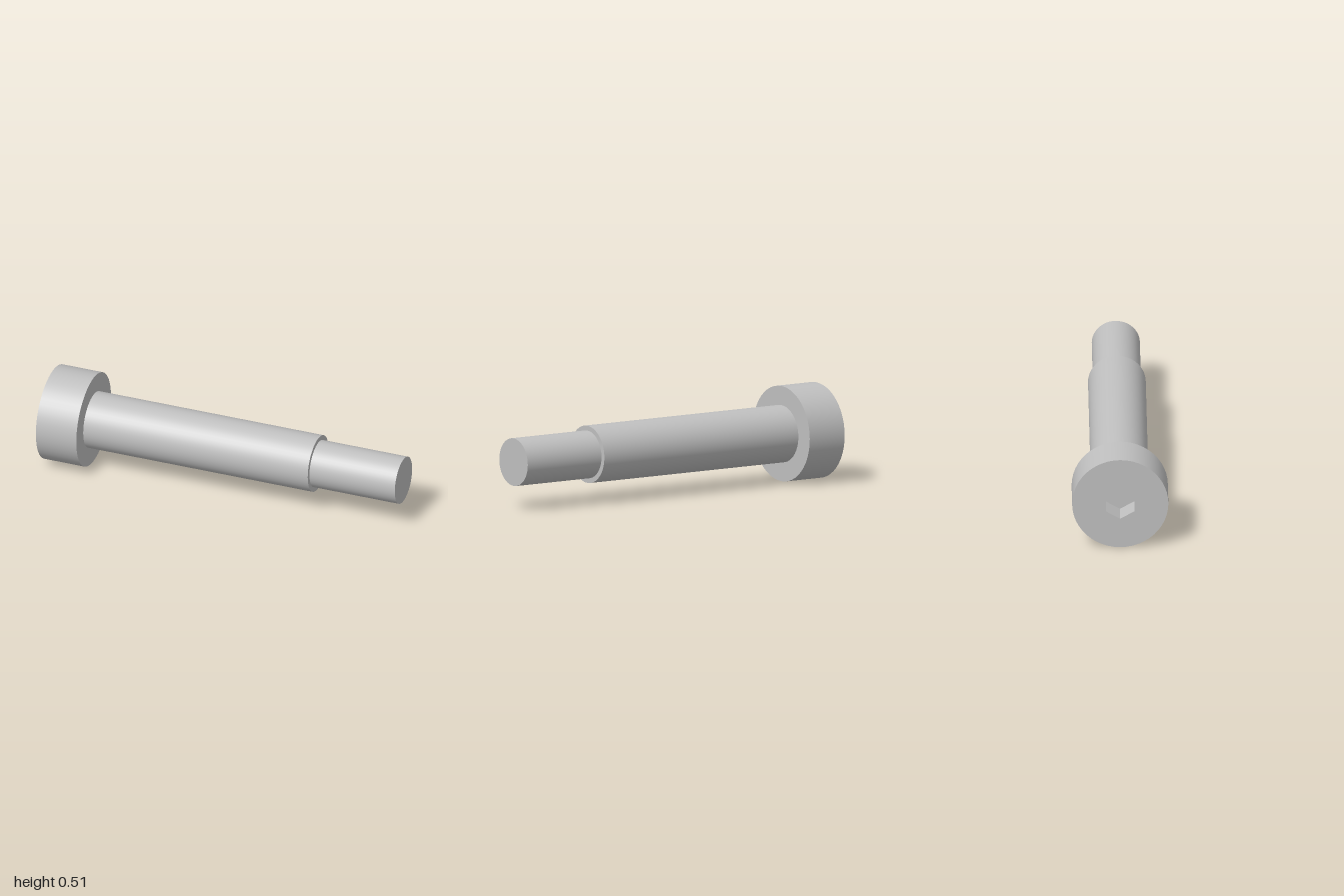
import * as THREE from 'three';
import { mergeGeometries } from 'three/addons/utils/BufferGeometryUtils.js';

const SIDES = 48;
const U = 2 / 39; // one millimetre of the bolt
const AXIS_Y = 5 * U;
const HEAD_R = 5 * U, SHOULDER_R = 3 * U, SHANK_R = 2.5 * U;
const HEX_R = 3 * U / Math.sqrt(3), HEX_DEPTH = 2.4 * U;
const X0 = -1, X1 = X0 + 4.5 * U, X2 = X1 + 25 * U, X3 = 1;

// Turns a profile of [radius, x] about the x axis, with a sharp edge at every point
function turned(profile, sides = SIDES) {
  const bands = [];
  for (let i = 0; i < profile.length - 1; i++) {
    const pts = [profile[i], profile[i + 1]].map(([r, x]) => new THREE.Vector2(r, x));
    bands.push(new THREE.LatheGeometry(pts, sides, Math.PI / 2));
  }
  return mergeGeometries(bands).rotateZ(-Math.PI / 2);
}

// Points of a regular polygon, with one corner straight up
function polygon(radius, sides) {
  return Array.from({ length: sides }, (_, i) => {
    const a = Math.PI / 2 + (i / sides) * Math.PI * 2;
    return new THREE.Vector2(Math.cos(a) * radius, Math.sin(a) * radius);
  });
}

export function createModel() {
  const group = new THREE.Group();
  const steel = new THREE.MeshStandardMaterial({ color: 0xc0c0c0 });
  steel.name = 'steel';

  const add = (name, geometry) => {
    const mesh = new THREE.Mesh(geometry, steel);
    mesh.name = name;
    mesh.position.y = AXIS_Y;
    group.add(mesh);
  };

  // Head rim and its underside
  add('head', turned([[HEAD_R, X0], [HEAD_R, X1], [SHOULDER_R, X1]]));

  // Flat end of the head, pierced by the hexagon
  const face = new THREE.Shape(polygon(HEAD_R, SIDES));
  face.holes.push(new THREE.Path(polygon(HEX_R, 6)));
  add('headFace', new THREE.ShapeGeometry(face).rotateY(-Math.PI / 2).translate(X0, 0, 0));

  // Hexagonal socket: floor and six flat walls
  const socket = turned([[0, X0 + HEX_DEPTH], [HEX_R, X0 + HEX_DEPTH], [HEX_R, X0]], 6).toNonIndexed();
  socket.computeVertexNormals();
  add('hexSocket', socket);

  // Shoulder with its step, then the thinner end
  add('shoulder', turned([[SHOULDER_R, X1], [SHOULDER_R, X2], [SHANK_R, X2]]));
  add('threadEnd', turned([[SHANK_R, X2], [SHANK_R, X3], [0, X3]]));

  return group;
}
